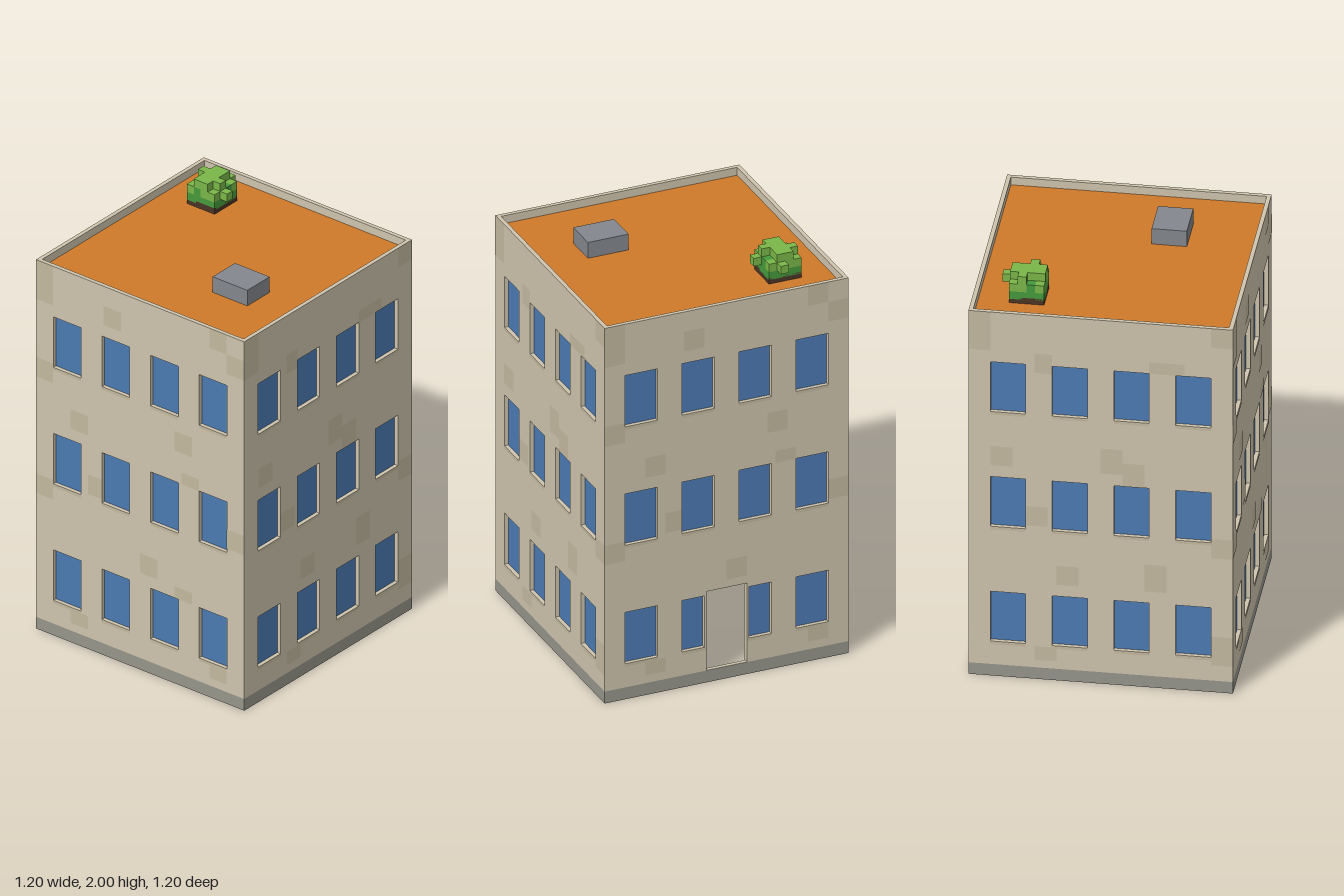
import * as THREE from 'three';
import { mergeGeometries } from 'three/addons/utils/BufferGeometryUtils.js';

const mat = (color, side = THREE.FrontSide) => new THREE.MeshStandardMaterial({ color, side });
const wallMat = mat(0xcec4ad), patchMat = mat(0xc3b99f), baseMat = mat(0x96958b);
const glassMat = mat(0x4b7ab2, THREE.DoubleSide), roofMat = mat(0xcf7a2a);
const ventMat = mat(0x83878d), soilMat = mat(0x4a3425);
const leafMat = mat(0x7ab648), darkLeafMat = mat(0x459a3c);

const HALF = 0.6, THICK = 0.02, BASE = 0.06, TOP = 1.9, ROOF = 1.86;
const COLS = [-0.42, -0.14, 0.14, 0.42], ROWS = [0.18, 0.78, 1.38];
const WIN_W = 0.16, WIN_H = 0.26, DOOR = 0.1, DOOR_TOP = 0.46;

// Box given by its minimum and maximum corners
function box(x0, y0, z0, x1, y1, z1) {
  return new THREE.BoxGeometry(x1 - x0, y1 - y0, z1 - z0)
    .translate((x0 + x1) / 2, (y0 + y1) / 2, (z0 + z1) / 2);
}

// Upright rectangle facing +z
function panel(x, y, w, h, z) {
  return new THREE.PlaneGeometry(w, h).translate(x + w / 2, y + h / 2, z);
}

function add(group, name, geometry, material) {
  const mesh = new THREE.Mesh(geometry, material);
  mesh.name = name;
  group.add(mesh);
}

const outline = (points) => points.map(([x, y]) => new THREE.Vector2(x, y));
const rect = (x, y, w, h) => outline([[x, y], [x + w, y], [x + w, y + h], [x, y + h]]);

// Darker wall blocks as [x, y, width, height], clear of the windows
const PATCHES = [
  [
    [-0.6, 1.7, 0.1, 0.2], [-0.21, 1.7, 0.1, 0.1], [0.4, 1.8, 0.1, 0.1], [0.5, 1.7, 0.1, 0.1],
    [-0.6, 1.3, 0.1, 0.1], [0.2, 1.2, 0.1, 0.1], [-0.4, 1.1, 0.1, 0.1], [0.24, 1.04, 0.1, 0.06],
    [-0.3, 0.8, 0.08, 0.1], [-0.6, 0.7, 0.1, 0.1], [0.5, 0.8, 0.1, 0.1], [0, 0.5, 0.1, 0.1],
    [0.2, 0.44, 0.1, 0.06], [-0.4, 0.1, 0.1, 0.07], [0.4, 0.1, 0.1, 0.07],
  ],
  [
    [-0.6, 1.7, 0.1, 0.2], [-0.3, 1.6, 0.08, 0.1], [0.22, 1.64, 0.16, 0.06], [0.5, 1.8, 0.1, 0.1],
    [0, 1.1, 0.1, 0.13], [0.1, 1.04, 0.1, 0.12], [-0.5, 1.1, 0.1, 0.1], [-0.34, 0.8, 0.1, 0.1],
    [0.5, 0.7, 0.1, 0.1], [0.2, 0.5, 0.1, 0.14], [-0.2, 0.5, 0.1, 0.1], [0.5, 0.14, 0.1, 0.15],
    [-0.3, 0.1, 0.1, 0.07],
  ],
];

function makeSide(index) {
  const side = new THREE.Group();
  side.name = ['frontSide', 'leftSide', 'backSide', 'rightSide'][index];
  const isBack = index === 2;
  const w = index % 2 ? HALF - THICK : HALF;
  const wall = new THREE.Shape(rect(-w, BASE, 2 * w, TOP - BASE));
  const panes = [], patches = [];

  ROWS.forEach((y, row) => COLS.forEach((cx, col) => {
    let x = cx - WIN_W / 2, width = WIN_W;
    const besideDoor = isBack && row === 0 && (col === 1 || col === 2);
    if (besideDoor) {
      width = 0.22 - DOOR;
      x = col === 1 ? -0.22 : DOOR;
    } else {
      wall.holes.push(new THREE.Path(rect(x, y, width, WIN_H)));
    }
    panes.push(panel(x, y, width, WIN_H, HALF - THICK + 0.001));
    patches.push(panel(x, y - 0.015, width, 0.015, HALF + 0.0015));
  }));

  // Doorway joined with the windows on either side of it
  if (isBack) {
    const y0 = ROWS[0], y1 = y0 + WIN_H, d = DOOR, e = 0.22, b = BASE + 0.001;
    wall.holes.push(new THREE.Path(outline([
      [-d, b], [d, b], [d, y0], [e, y0], [e, y1], [d, y1],
      [d, DOOR_TOP], [-d, DOOR_TOP], [-d, y1], [-e, y1], [-e, y0], [-d, y0],
    ])));
    const z0 = HALF - 0.03;
    add(side, 'doorFrame', mergeGeometries([
      box(-d - 0.01, BASE, z0, -d, DOOR_TOP, HALF),
      box(d, BASE, z0, d + 0.01, DOOR_TOP, HALF),
    ]), wallMat);
  }

  for (const [x, y, pw, ph] of PATCHES[index % 2]) {
    if (isBack && Math.abs(x) < 0.25 && y < DOOR_TOP) continue;
    patches.push(panel(x, y, pw, ph, HALF + 0.001));
  }
  add(side, 'wall', new THREE.ExtrudeGeometry(wall, { depth: THICK, bevelEnabled: false })
    .translate(0, 0, HALF - THICK), wallMat);
  add(side, 'windowPanes', mergeGeometries(panes), glassMat);
  add(side, 'wallPatches', mergeGeometries(patches), patchMat);
  add(side, 'basePlinth', box(-w, 0, HALF - THICK, w, BASE, HALF), baseMat);
  side.rotation.y = index * Math.PI / 2;
  return side;
}

// Blocky bush: L = leaf, D = dark leaf, rows run from back to front
function makeBush() {
  const bush = new THREE.Group();
  bush.name = 'roofBush';
  const s = 0.04, x0 = -0.44, z0 = -0.48;
  const layers = [
    ['.....', 'DDDD.', 'DDDD.', 'DDDD.', 'DDDD.'],
    ['..L..', 'LLLL.', 'LLLD.', 'DLLLL', 'LDLL.'],
    ['.....', '.LL..', 'LLL..', '.LLL.', '.LL..'],
  ];
  const cells = { L: [], D: [] };
  layers.forEach((rows, j) => rows.forEach((line, k) => [...line].forEach((c, i) => {
    if (c === '.') return;
    const x = x0 + i * s, y = 1.88 + j * s, z = z0 + k * s;
    cells[c].push(box(x, y, z, x + s, y + s, z + s));
  })));
  add(bush, 'soil', box(-0.44, ROOF, -0.44, -0.28, 1.89, -0.28), soilMat);
  add(bush, 'leaves', mergeGeometries(cells.L), leafMat);
  add(bush, 'darkLeaves', mergeGeometries(cells.D), darkLeafMat);
  return bush;
}

export function createModel() {
  const model = new THREE.Group();
  model.name = 'building';
  for (let i = 0; i < 4; i++) model.add(makeSide(i));
  const r = HALF - THICK;
  add(model, 'roof', box(-r, ROOF - 0.02, -r, r, ROOF, r), roofMat);
  add(model, 'roofVent', box(0.16, ROOF, 0.12, 0.36, 1.94, 0.28), ventMat);
  model.add(makeBush());
  return model;
}
